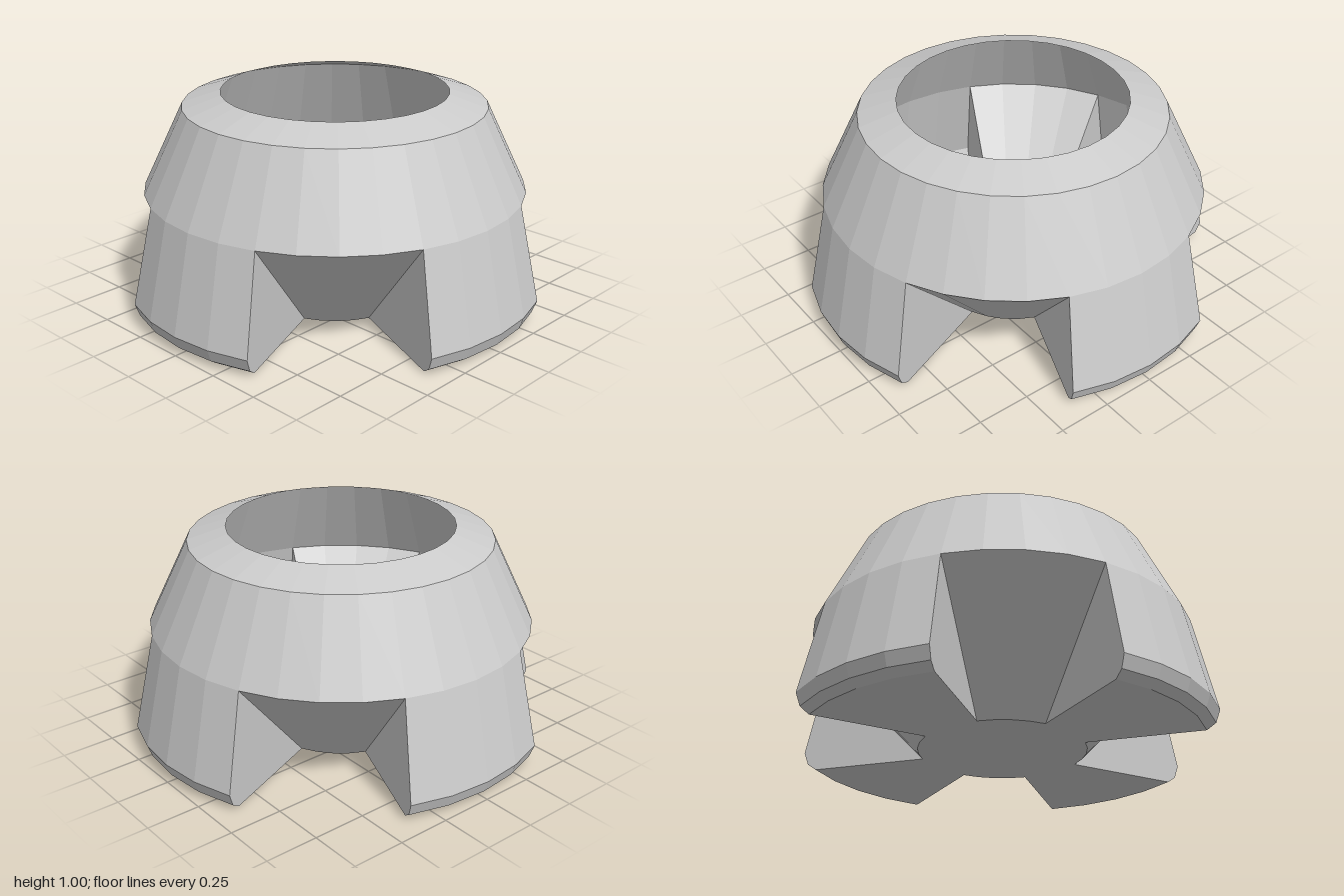
import * as THREE from 'three';

const STEP = Math.PI / 16; // 32-sided body
const material = new THREE.MeshStandardMaterial({
  color: 0xcccccc, flatShading: true, side: THREE.DoubleSide,
});
const toPoints = (list) => list.map(([r, y]) => new THREE.Vector2(r, y));

// Profiles as [radius, height], listed from the bottom up
const CROWN = toPoints([[0.9, 0.545], [0.71, 0.94], [0.53, 1]]);
const FOOT = toPoints([[0, 0], [0.39, 0], [0.935, 0], [0.978, 0.03], [1, 0.09], [0.9, 0.545]]);
const NOTCH = toPoints([[0, 0], [0.39, 0], [0.9, 0.545]]);

export function createModel() {
  const group = new THREE.Group();
  group.name = 'notchedCup';

  const add = (name, geometry, turn = 0) => {
    const mesh = new THREE.Mesh(geometry, material);
    mesh.name = name;
    mesh.rotation.y = turn;
    group.add(mesh);
  };

  // Tapered upper shell with an open top
  add('crown', new THREE.LatheGeometry(CROWN, 32));

  // Four feet alternate with four sloping notches, each four facets wide
  const foot = new THREE.LatheGeometry(FOOT, 4, -2 * STEP, 4 * STEP);
  const notch = new THREE.LatheGeometry(NOTCH, 4, 2 * STEP, 4 * STEP);

  // Upright wall between a foot and a notch, in a plane through the axis
  const wall = new THREE.ShapeGeometry(new THREE.Shape(FOOT.slice(1)));

  for (let i = 0; i < 4; i++) {
    const turn = (i * Math.PI) / 2;
    add('foot', foot, turn);
    add('notchSlope', notch, turn);
    for (const side of [-1, 1]) add('notchWall', wall, turn + side * 2 * STEP);
  }
  return group;
}
